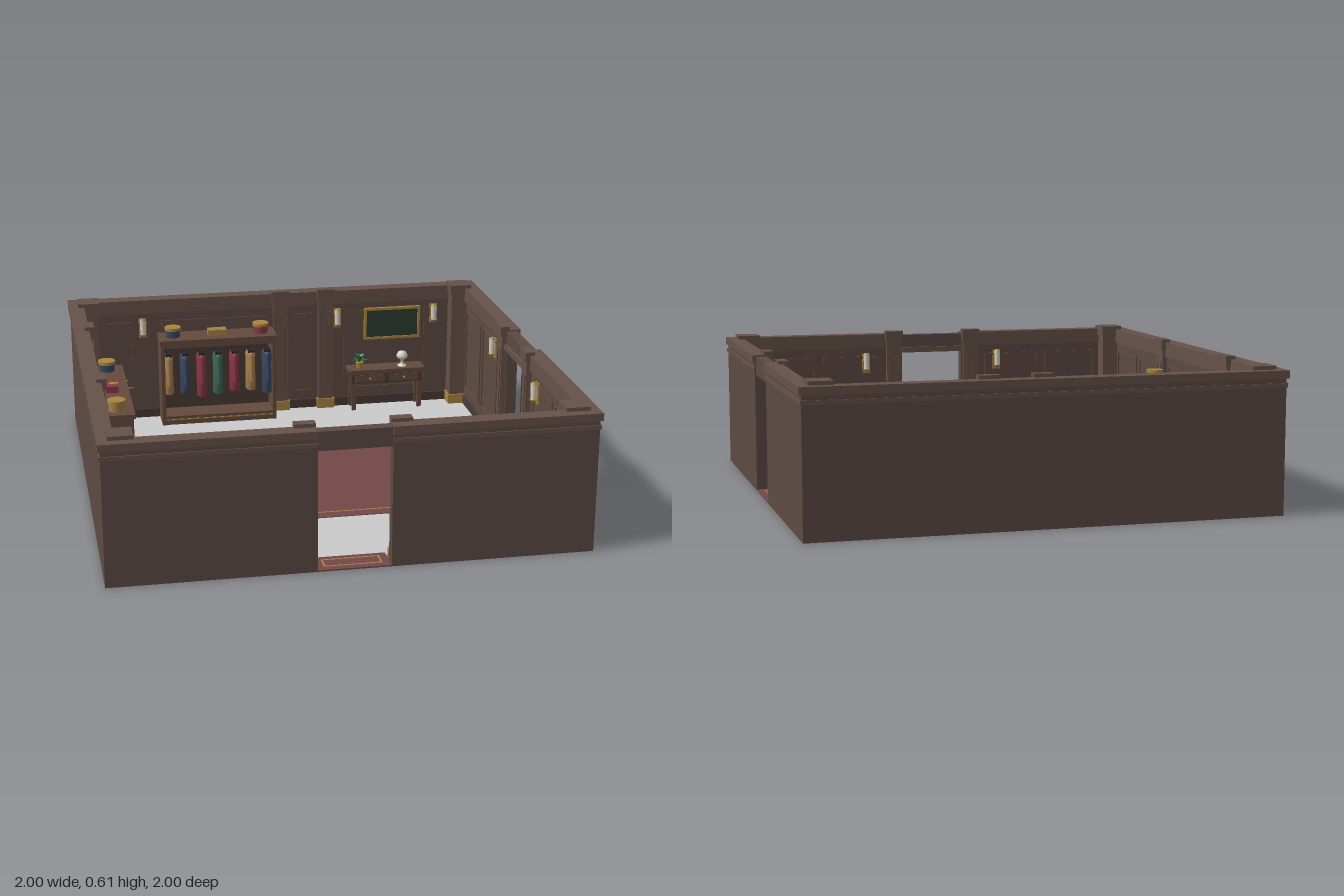
import * as THREE from 'three';
import { RoundedBoxGeometry } from 'three/addons/geometries/RoundedBoxGeometry.js';

const C = { wall: 0x5c4a43, trim: 0x66524a, dark: 0x4a3a33, wood: 0x644a3e, gold: 0xa8843f, rug: 0x744848,
  red: 0x8a3744, blue: 0x3a4660, green: 0x3c6657, tan: 0xa67f4c, leaf: 0x2f6b3a, black: 0x2a2625, glass: 0xd8d2c0, board: 0x2c3a30 };
const cache = {};
const mat = (c) => (cache[c] ??= new THREE.MeshStandardMaterial({ color: c }));

function add(parent, name, geo, color, x = 0, y = 0, z = 0) {
  const m = new THREE.Mesh(geo, mat(color));
  m.name = name;
  m.position.set(x, y, z);
  parent.add(m);
  return m;
}
// Box given by its minimum and maximum on each axis
function box(parent, name, color, x0, x1, y0, y1, z0, z1) {
  return add(parent, name, new THREE.BoxGeometry(x1 - x0, y1 - y0, z1 - z0), color, (x0 + x1) / 2, (y0 + y1) / 2, (z0 + z1) / 2);
}
function group(parent, name, x = 0, y = 0, z = 0, ry = 0) {
  const g = new THREE.Group();
  g.name = name;
  g.position.set(x, y, z);
  g.rotation.y = ry;
  parent.add(g);
  return g;
}
// Four bars around a rectangle, standing on a wall face at z
function frame(parent, name, color, x0, x1, y0, y1, z, t = 0.008, d = 0.006) {
  const g = group(parent, name);
  box(g, name + 'Bottom', color, x0, x1, y0, y0 + t, z, z + d);
  box(g, name + 'Top', color, x0, x1, y1 - t, y1, z, z + d);
  box(g, name + 'SideA', color, x0, x0 + t, y0 + t, y1 - t, z, z + d);
  box(g, name + 'SideB', color, x1 - t, x1, y0 + t, y1 - t, z, z + d);
}

function pilaster(w, x) {
  const g = group(w, 'pilaster', x);
  box(g, 'shaft', C.trim, -0.036, 0.036, 0.05, 0.57, -0.95, -0.916);
  box(g, 'base', C.gold, -0.043, 0.043, 0, 0.05, -0.95, -0.908);
  box(g, 'capital', C.trim, -0.043, 0.043, 0.565, 0.612, -0.95, -0.908);
  frame(g, 'shaftPanel', C.wood, -0.024, 0.024, 0.1, 0.5, -0.916, 0.005, 0.004);
}

function sconce(w, x) {
  const g = group(w, 'sconce', x, 0.46, -0.94);
  box(g, 'backPlate', C.gold, -0.018, 0.018, -0.05, 0.045, 0, 0.006);
  add(g, 'shade', new THREE.CylinderGeometry(0.015, 0.013, 0.07, 14), C.glass, 0, 0.005, 0.02);
  add(g, 'holder', new THREE.CylinderGeometry(0.017, 0.008, 0.015, 14), C.gold, 0, -0.037, 0.02);
  add(g, 'cap', new THREE.CylinderGeometry(0.012, 0.017, 0.008, 14), C.gold, 0, 0.044, 0.02);
}

// Wall along local x with its inner face towards +z; half = half length
function wall(parent, name, ry, half, door, pilasters, sconces, panels) {
  const w = group(parent, name, 0, 0, 0, ry);
  const inner = Math.min(half, 0.94);
  const spans = door ? [[-half, -0.15], [0.15, half]] : [[-half, half]];
  for (const [a, b] of spans) {
    box(w, 'lowerWall', C.wall, a, b, 0, 0.16, -0.99, -0.94);
    box(w, 'upperWall', C.wall, a, b, 0.16, 0.57, -0.99, -0.94);
    const i0 = Math.max(a, -inner), i1 = Math.min(b, inner);
    box(w, 'skirting', C.dark, i0, i1, 0.003, 0.045, -0.941, -0.932);
    box(w, 'innerCornice', C.trim, i0, i1, 0.53, 0.57, -0.941, -0.93);
    const o0 = a === -half ? -0.995 : a, o1 = b === half ? 0.995 : b;
    box(w, 'outerCornice', C.trim, o0, o1, 0.528, 0.545, -0.995, -0.985);
    box(w, 'capRail', C.trim, half > 0.95 && a < -0.9 ? -1 : a, half > 0.95 && b > 0.9 ? 1 : b, 0.565, 0.597, -1, -0.93);
  }
  if (door) {
    box(w, 'doorHeader', C.wall, -0.15, 0.15, 0.51, 0.59, -0.985, -0.938);
    box(w, 'headerTrim', C.trim, -0.15, 0.15, 0.505, 0.53, -0.938, -0.925);
    box(w, 'doorMat', C.rug, -0.15, 0.15, 0, 0.006, -0.99, -0.865);
    rugBorder(w, -0.12, 0.12, -0.96, -0.89, 0.006);
  }
  pilasters.forEach((x) => pilaster(w, x));
  sconces.forEach((x) => sconce(w, x));
  panels.forEach(([a, b]) => frame(w, 'wallPanel', C.wood, a, b, 0.09, 0.49, -0.94));
}

function rugBorder(parent, x0, x1, z0, z1, y) {
  const t = 0.008;
  box(parent, 'rugBorder', C.tan, x0, x1, y, y + 0.001, z0, z0 + t);
  box(parent, 'rugBorder', C.tan, x0, x1, y, y + 0.001, z1 - t, z1);
  box(parent, 'rugBorder', C.tan, x0, x0 + t, y, y + 0.001, z0 + t, z1 - t);
  box(parent, 'rugBorder', C.tan, x1 - t, x1, y, y + 0.001, z0 + t, z1 - t);
}
function rug(parent, name, x0, x1, z0, z1) {
  box(parent, name, C.rug, x0, x1, 0, 0.006, z0, z1);
  rugBorder(parent, x0 + 0.05 * Math.min(1, (x1 - x0)), x1 - 0.05 * Math.min(1, (x1 - x0)), z0 + 0.05, z1 - 0.05, 0.006);
}

function garment(parent, x, color, length) {
  const g = group(parent, 'garment', x, 0, 0.085);
  const pts = [[0.001, 0], [0.024, 0], [0.022, length * 0.6], [0.024, length - 0.025], [0.018, length - 0.007], [0.006, length]];
  const coat = add(g, 'coat', new THREE.LatheGeometry(pts.map((p) => new THREE.Vector2(...p)), 14), color, 0, 0.352 - length, 0);
  coat.material.side = THREE.DoubleSide;
  coat.scale.z = 1.9;
  for (const s of [-1, 1]) {
    const sleeve = add(g, 'sleeve', new THREE.CylinderGeometry(0.012, 0.01, 0.13, 10), color, 0, 0.265, s * 0.045);
    sleeve.rotation.x = -s * 0.08;
  }
  add(g, 'hangerBar', new THREE.BoxGeometry(0.03, 0.012, 0.07), C.black, 0, 0.346, 0);
  add(g, 'hangerHook', new THREE.TorusGeometry(0.012, 0.002, 6, 14, Math.PI * 1.5), C.black, 0, 0.366, 0);
}

function hatBox(parent, x, color) {
  const g = group(parent, 'hatBox', x, 0.43, 0.075);
  add(g, 'drum', new THREE.CylinderGeometry(0.034, 0.034, 0.036, 20), color, 0, 0.018, 0);
  add(g, 'lid', new THREE.CylinderGeometry(0.039, 0.039, 0.014, 20), C.gold, 0, 0.041, 0);
}

// Open wardrobe with its back at local z = 0
function wardrobe(parent, x, z, ry, width, colors, boxColors, caseColor) {
  const g = group(parent, 'wardrobe', x, 0, z, ry), h = width / 2;
  box(g, 'backPanel', C.dark, -h + 0.015, h - 0.015, 0.03, 0.41, 0, 0.01);
  for (const s of [-1, 1]) box(g, 'sidePanel', C.wood, s * h - 0.009 - s * 0.013, s * h + 0.009 - s * 0.013, 0, 0.41, 0, 0.142);
  box(g, 'topBoard', C.wood, -h, h, 0.41, 0.43, 0, 0.15);
  box(g, 'plinth', C.wood, -h + 0.02, h - 0.02, 0, 0.045, 0, 0.138);
  box(g, 'plinthTrim', C.gold, -h + 0.022, h - 0.022, 0.026, 0.031, 0.138, 0.141);
  box(g, 'upperRail', C.wood, -h + 0.02, h - 0.02, 0.388, 0.41, 0.12, 0.138);
  const rod = add(g, 'rod', new THREE.CylinderGeometry(0.005, 0.005, width - 0.04, 10), C.gold, 0, 0.377, 0.085);
  rod.rotation.z = Math.PI / 2;
  const step = (width - 0.085) / (colors.length - 1);
  colors.forEach((c, i) => garment(g, -h + 0.0425 + i * step, c, [0.2, 0.2, 0.22, 0.21][i % 4]));
  hatBox(g, -h + 0.07, boxColors[0]);
  hatBox(g, h - 0.07, boxColors[1]);
  box(g, 'smallCase', caseColor, -0.045, 0.045, 0.43, 0.458, 0.05, 0.102);
  box(g, 'caseClasp', C.gold, -0.012, 0.012, 0.44, 0.461, 0.064, 0.104);
}

// Rings of folded pointed leaves
function leaves(parent, y, size, rings) {
  rings.forEach(([count, tilt, len], r) => {
    for (let i = 0; i < count; i++) {
      const L = len * size, w = 0.26 * L, geo = new THREE.BufferGeometry();
      const rise = L * Math.sin(tilt), out = L * Math.cos(tilt);
      geo.setAttribute('position', new THREE.Float32BufferAttribute([0, 0, 0, -w, rise * 0.75, out * 0.5, 0, rise * 0.62, out * 0.55,
        w, rise * 0.75, out * 0.5, 0, rise * 0.85, out], 3));
      geo.setIndex([0, 2, 1, 0, 3, 2, 1, 2, 4, 2, 3, 4]);
      const flat = geo.toNonIndexed();
      flat.computeVertexNormals();
      const leaf = add(parent, 'leaf', flat, C.leaf, 0, y, 0);
      leaf.material.side = THREE.DoubleSide;
      leaf.rotation.y = (i / count) * Math.PI * 2 + r * 0.5;
    }
  });
}

export function createModel() {
  const room = new THREE.Group();
  room.name = 'cloakroom';

  // Floor and rugs
  box(room, 'floor', 0xcccccc, -0.94, 0.94, 0.001, 0.003, -0.94, 0.94);
  rug(room, 'mainRug', -0.545, 0.545, -0.45, 0.465);
  box(room, 'benchRug', C.rug, 0.545, 0.88, 0, 0.0065, 0.31, 0.79);
  rugBorder(room, 0.575, 0.85, 0.34, 0.76, 0.0065);

  // Walls, with doorways in the front and the left side
  const pair = [-0.193, 0.193], lamps = [-0.33, 0.33];
  const doorPanels = [[-0.84, -0.58], [-0.54, -0.27], [0.27, 0.54], [0.58, 0.84]];
  wall(room, 'backWall', 0, 0.99, false, [0.022, 0.245], [-0.65, 0.305, 0.79], [[-0.84, -0.7], [-0.56, -0.3], [-0.28, -0.05], [0.09, 0.18], [0.34, 0.75]]);
  wall(room, 'frontWall', Math.PI, 0.99, true, pair, lamps, doorPanels);
  wall(room, 'leftWall', -Math.PI / 2, 0.94, true, pair, lamps, doorPanels);
  wall(room, 'rightWall', Math.PI / 2, 0.94, false, [-0.222, 0.525], [0.64], [[-0.84, -0.58], [-0.54, -0.29], [-0.16, 0.12], [0.16, 0.46], [0.68, 0.84]]);

  // Corner posts
  for (const sx of [-1, 1]) for (const sz of [-1, 1]) {
    const p = group(room, 'cornerPost', sx * 0.908, 0, sz * 0.908);
    box(p, 'postShaft', C.trim, -0.043, 0.043, 0.05, 0.57, -0.043, 0.043);
    box(p, 'postBase', C.gold, -0.05, 0.05, 0, 0.05, -0.05, 0.05);
    box(p, 'postCapital', C.trim, -0.05, 0.05, 0.565, 0.613, -0.05, 0.05);
  }

  // Wardrobes
  const { red, blue, green, tan } = C;
  wardrobe(room, -0.3, -0.938, 0, 0.565, [tan, blue, red, green, red, tan, blue], [blue, red], tan);
  wardrobe(room, -0.938, -0.127, Math.PI / 2, 0.685, [blue, tan, red, red, blue, green, tan, tan], [tan, blue], red);

  // Console with drawer, small plant and lamp
  const c = group(room, 'console', 0.54, 0, -0.888);
  box(c, 'consoleTop', C.wood, -0.19, 0.19, 0.19, 0.21, -0.05, 0.05);
  box(c, 'consoleApron', C.dark, -0.175, 0.175, 0.14, 0.19, -0.045, 0.042);
  for (const s of [-1, 1]) {
    box(c, 'drawerFront', C.wood, s * 0.085 - 0.075, s * 0.085 + 0.075, 0.147, 0.184, 0.042, 0.046);
    add(c, 'drawerKnob', new THREE.SphereGeometry(0.006, 10, 8), C.gold, s * 0.085, 0.165, 0.05);
    for (const z of [-0.036, 0.034]) box(c, 'consoleLeg', C.wood, s * 0.165 - 0.01, s * 0.165 + 0.01, 0, 0.14, z - 0.008, z + 0.008);
  }
  const small = group(c, 'smallPlant', -0.13, 0.21, 0);
  add(small, 'smallPot', new THREE.CylinderGeometry(0.02, 0.015, 0.03, 14), C.gold, 0, 0.015, 0);
  leaves(small, 0.028, 0.055, [[5, 0.4, 0.9], [4, 1, 1]]);
  const lamp = [[0.001, 0], [0.022, 0], [0.022, 0.006], [0.007, 0.012], [0.007, 0.03], [0.026, 0.045], [0.028, 0.058], [0.018, 0.074], [0.001, 0.08]];
  add(c, 'tableLamp', new THREE.LatheGeometry(lamp.map((p) => new THREE.Vector2(...p)), 18), C.glass, 0.082, 0.21, 0.01);

  // Framed board above the console
  box(room, 'wallBoard', C.board, 0.45, 0.71, 0.35, 0.49, -0.94, -0.93);
  frame(room, 'boardFrame', C.gold, 0.44, 0.72, 0.34, 0.5, -0.94, 0.012, 0.016);

  // Square planter
  const p = group(room, 'planter', -0.82, 0, -0.83);
  box(p, 'planterBody', C.wood, -0.053, 0.053, 0.02, 0.13, -0.053, 0.053);
  box(p, 'planterFoot', C.dark, -0.058, 0.058, 0, 0.02, -0.058, 0.058);
  box(p, 'planterRim', C.gold, -0.06, 0.06, 0.13, 0.147, -0.06, 0.06);
  box(p, 'soil', C.black, -0.05, 0.05, 0.147, 0.149, -0.05, 0.05);
  leaves(p, 0.148, 0.13, [[8, 0.45, 1], [6, 0.85, 1.05], [4, 1.25, 1.1]]);

  // Tufted bench
  const b = group(room, 'bench', 0.715, 0, 0.542);
  box(b, 'benchFrame', C.dark, -0.08, 0.08, 0.07, 0.092, -0.173, 0.173);
  add(b, 'cushion', new RoundedBoxGeometry(0.15, 0.045, 0.336, 3, 0.012), C.red, 0, 0.112, 0);
  for (const x of [-1, 1]) {
    for (const z of [-1, 1]) add(b, 'benchLeg', new THREE.CylinderGeometry(0.012, 0.007, 0.066, 12), C.dark, x * 0.062, 0.038, z * 0.153);
    for (let i = -2; i <= 2; i++) add(b, 'tuftButton', new THREE.SphereGeometry(0.005, 8, 6), C.red, x * 0.024, 0.134, i * 0.06);
    box(b, 'stretcher', C.dark, x * 0.062 - 0.004, x * 0.062 + 0.004, 0.025, 0.033, -0.15, 0.15);
  }
  return room;
}
